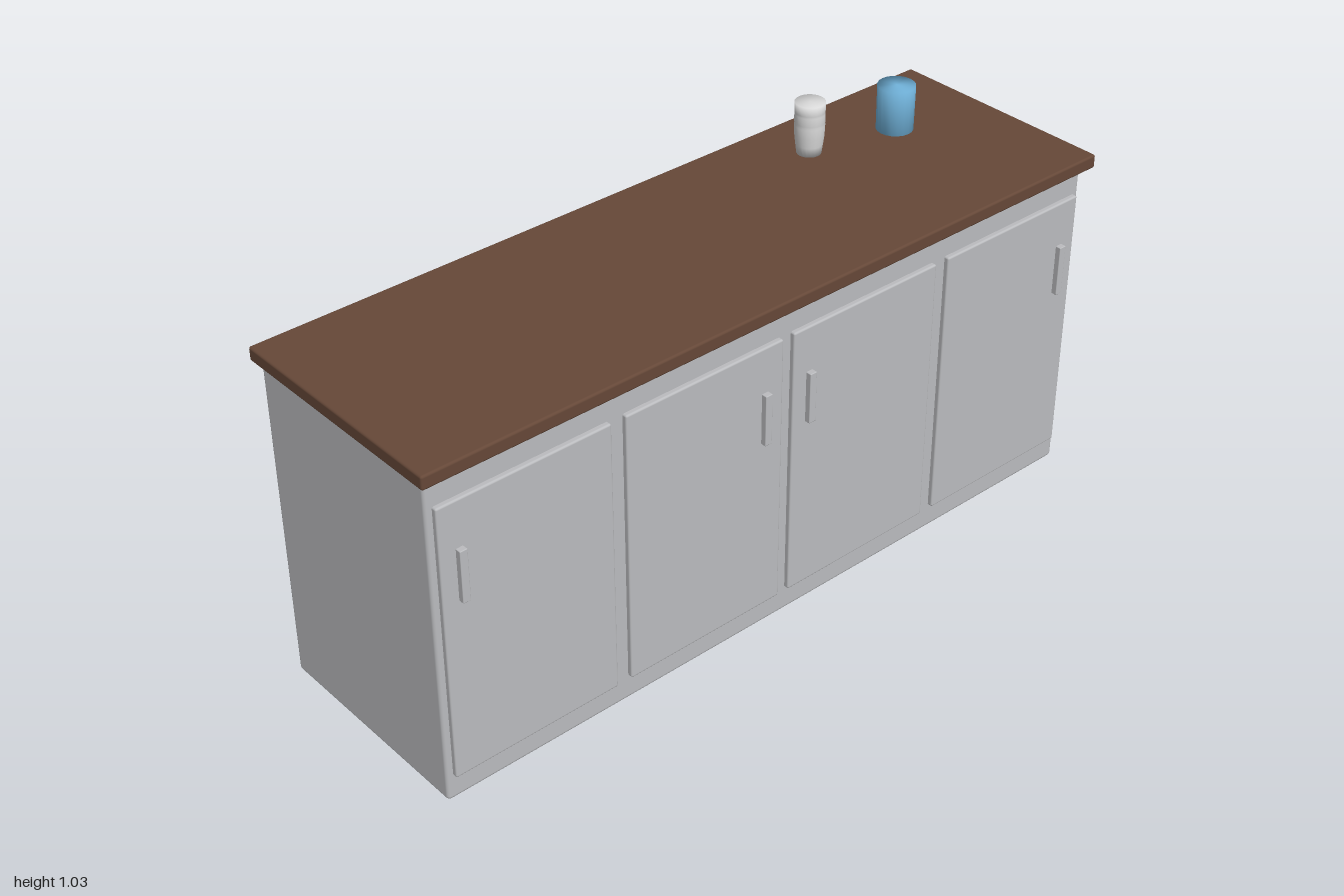
import * as THREE from 'three';
import { RoundedBoxGeometry } from 'three/addons/geometries/RoundedBoxGeometry.js';

const material = (name, color) => {
  const m = new THREE.MeshStandardMaterial({ color });
  m.name = name;
  return m;
};

export function createModel() {
  const grey = material('cabinet grey', 0xbbbcbf);
  const brown = material('wood brown', 0x664838);
  const blue = material('cup blue', 0x72b4dc);
  const white = material('cup white', 0xd8d8d8);

  const model = new THREE.Group();
  model.name = 'kitchenCounter';

  // Box with softened edges, given by its minimum and maximum corners
  const addBox = (name, mat, [x0, y0, z0], [x1, y1, z1], radius) => {
    const geometry = new RoundedBoxGeometry(x1 - x0, y1 - y0, z1 - z0, 2, radius);
    const mesh = new THREE.Mesh(geometry, mat);
    mesh.name = name;
    mesh.position.set((x0 + x1) / 2, (y0 + y1) / 2, (z0 + z1) / 2);
    model.add(mesh);
  };

  // Solid turned cup from a [radius, height] profile
  const addCup = (name, mat, x, z, profile) => {
    const points = profile.map(([r, h]) => new THREE.Vector2(r, h));
    const mesh = new THREE.Mesh(new THREE.LatheGeometry(points, 20), mat);
    mesh.name = name;
    mesh.position.set(x, 0.902, z);
    model.add(mesh);
  };

  // Cabinet body and worktop
  addBox('cabinetBody', grey, [-0.98, 0.003, -0.302], [0.98, 0.866, 0.285], 0.01);
  addBox('worktop', brown, [-1, 0.866, -0.3125], [1, 0.902, 0.3125], 0.006);

  // Four doors, each with an upright handle
  const doors = [[-0.736, -0.912], [-0.243, -0.07], [0.243, 0.066], [0.736, 0.91]];
  for (const [x, handleX] of doors) {
    addBox('door', grey, [x - 0.227, 0.071, 0.275], [x + 0.227, 0.796, 0.298], 0.005);
    addBox('handle', grey, [handleX - 0.01, 0.542, 0.296], [handleX + 0.01, 0.677, 0.3125], 0.002);
  }

  // Plain cup
  addCup('blueCup', blue, 0.733, -0.108, [
    [0, 0], [0.047, 0], [0.048, 0.118], [0, 0.118],
  ]);

  // Ribbed cup that tapers towards its foot
  addCup('whiteCup', white, 0.488, -0.157, [
    [0, 0], [0.031, 0], [0.034, 0.025], [0.037, 0.05], [0.038, 0.076],
    [0.036, 0.08], [0.038, 0.084], [0.038, 0.106], [0.036, 0.109],
    [0.038, 0.112], [0.038, 0.136], [0, 0.136],
  ]);

  return model;
}
